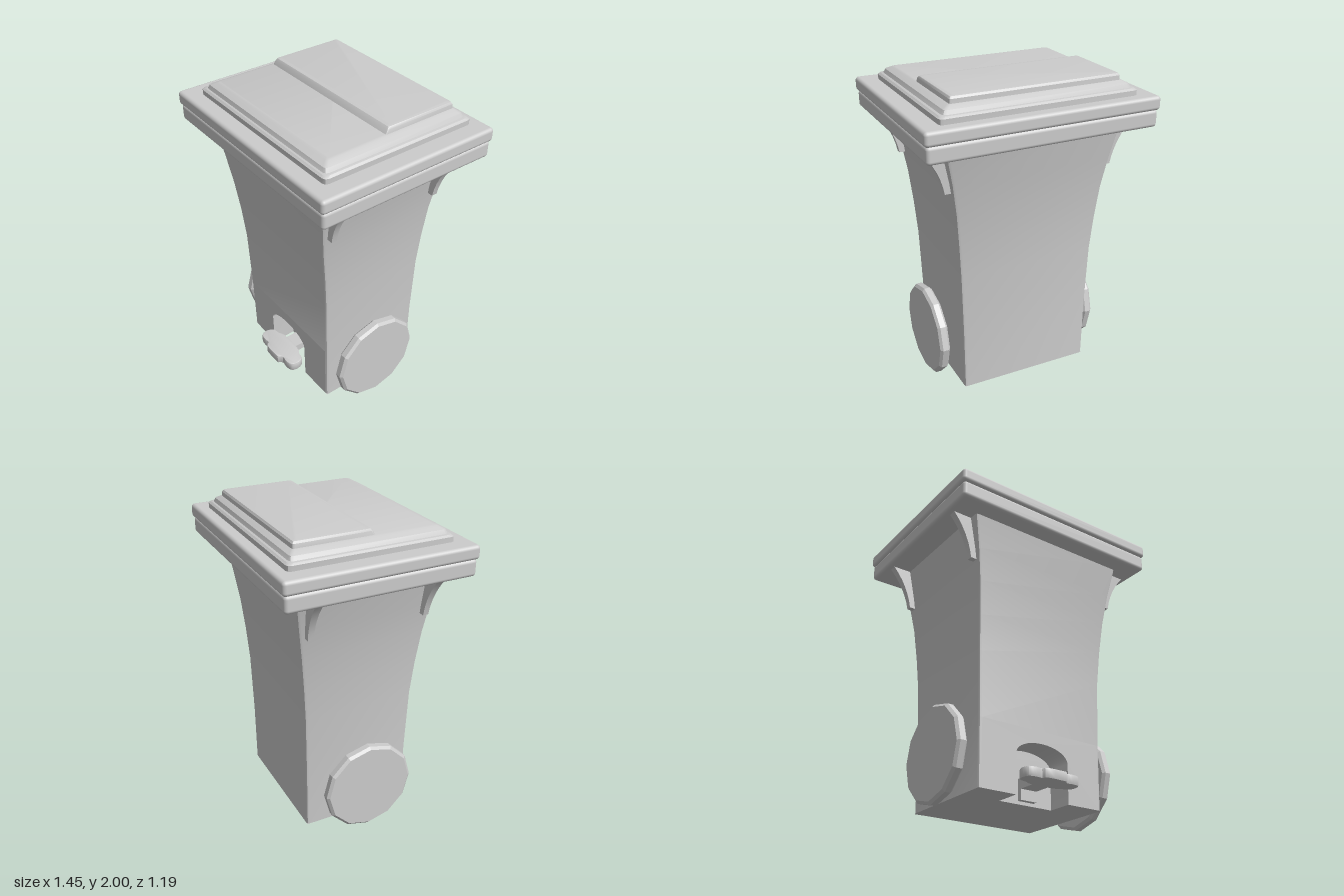
import * as THREE from 'three';
import { toCreasedNormals } from 'three/addons/utils/BufferGeometryUtils.js';
import { RoundedBoxGeometry } from 'three/addons/geometries/RoundedBoxGeometry.js';

const grey = new THREE.MeshStandardMaterial({ color: 0xcccccc });
const greyDouble = new THREE.MeshStandardMaterial({ color: 0xcccccc, side: THREE.DoubleSide });

function part(name, geometry, parent, material = grey) {
  const mesh = new THREE.Mesh(geometry, material);
  mesh.name = name;
  parent.add(mesh);
  return mesh;
}

// Rounded rectangle cross-section: y, half width, front z, back z, corner radius
const CORNER = 3;
function ring([y, hx, zf, zb, r]) {
  const pts = [];
  [[1, 1], [-1, 1], [-1, -1], [1, -1]].forEach(([sx, sz], c) => {
    for (let i = 0; i < CORNER; i++) {
      const a = (c + i / (CORNER - 1)) * Math.PI / 2;
      const z = sz > 0 ? zf - r : zb + r;
      pts.push(new THREE.Vector3(sx * (hx - r) + r * Math.cos(a), y, z + r * Math.sin(a)));
    }
  });
  return pts;
}

// Skin over stacked cross-sections, optionally closed on top or open at the lowest front face
function loft(sections, { cap = false, openFront = false } = {}) {
  const rings = sections.map(ring), n = CORNER * 4, tri = [];
  for (let s = 0; s < rings.length - 1; s++) {
    for (let i = 0; i < n; i++) {
      if (openFront && s === 0 && i === CORNER - 1) continue;
      const j = (i + 1) % n, b = rings[s], t = rings[s + 1];
      tri.push(b[i], t[i], b[j], b[j], t[i], t[j]);
    }
  }
  if (cap) {
    const top = rings[rings.length - 1];
    for (let i = 1; i < n - 1; i++) tri.push(top[0], top[i + 1], top[i]);
  }
  return toCreasedNormals(new THREE.BufferGeometry().setFromPoints(tri), 0.5);
}

// Flared body with an arched recess at the foot of the front
function buildBody() {
  const body = new THREE.Group();
  body.name = 'body';
  const r = 0.018, y0 = 0.05, y1 = 0.45;
  part('bodyShell', loft([
    [y0, 0.43, 0.35, -0.345, r],
    [y1, 0.435, 0.356, -0.348, r],
    [0.85, 0.447, 0.367, -0.357, r],
    [1.07, 0.462, 0.385, -0.372, r],
    [1.28, 0.481, 0.41, -0.392, r],
    [1.48, 0.512, 0.438, -0.42, r],
    [1.71, 0.56, 0.475, -0.455, r],
  ], { openFront: true }), body);

  const frontZ = (y) => 0.35 + 0.006 * (y - y0) / (y1 - y0);
  const w = 0.185, spring = 0.29, back = 0.19;
  const arch = [new THREE.Vector2(w, y0)];
  for (let i = 0; i <= 16; i++) {
    const a = i / 16 * Math.PI;
    arch.push(new THREE.Vector2(w * Math.cos(a), spring + 0.085 * Math.sin(a)));
  }
  arch.push(new THREE.Vector2(-w, y0));

  const panel = new THREE.ShapeGeometry(new THREE.Shape([
    ...arch, new THREE.Vector2(-0.412, y0), new THREE.Vector2(-0.417, y1),
    new THREE.Vector2(0.417, y1), new THREE.Vector2(0.412, y0),
  ]));
  const pp = panel.attributes.position;
  for (let i = 0; i < pp.count; i++) pp.setZ(i, frontZ(pp.getY(i)));
  panel.computeVertexNormals();
  part('lowerFrontPanel', panel, body, greyDouble);

  // Recess wall follows the arch backwards
  const wall = new THREE.PlaneGeometry(1, 1, arch.length - 1, 1);
  arch.forEach((p, i) => {
    wall.attributes.position.setXYZ(i, p.x, p.y, frontZ(p.y));
    wall.attributes.position.setXYZ(i + arch.length, p.x, p.y, back);
  });
  wall.computeVertexNormals();
  part('recessWall', wall, body, greyDouble);
  const rear = new THREE.ShapeGeometry(new THREE.Shape(arch));
  rear.translate(0, 0, back);
  part('recessBack', rear, body, greyDouble);

  // Underside with the recess cut out
  const floor = new THREE.ShapeGeometry(new THREE.Shape([
    [-0.43, -0.345], [0.43, -0.345], [0.43, 0.35], [w, 0.35],
    [w, back], [-w, back], [-w, 0.35], [-0.43, 0.35],
  ].map(([x, z]) => new THREE.Vector2(x, z))));
  floor.rotateX(Math.PI / 2).translate(0, y0, 0);
  part('underside', floor, body, greyDouble);
  return body;
}

// Lid: slab, stepped border, sloping shoulder, and a raised rear panel
function buildLid() {
  const lid = new THREE.Group();
  lid.name = 'lid';
  part('lidSlab', new RoundedBoxGeometry(1.45, 0.085, 1.19, 3, 0.022), lid).position.y = 1.832;
  part('lidCrown', loft([
    [1.865, 0.612, 0.495, -0.52, 0.025],
    [1.905, 0.612, 0.495, -0.52, 0.025],
    [1.915, 0.6, 0.483, -0.508, 0.025],
    [1.917, 0.585, 0.472, -0.495, 0.025],
    [1.94, 0.572, 0.462, -0.485, 0.02],
    [1.957, 0.54, 0.43, -0.46, 0.015],
    [1.962, 0.525, 0.415, -0.45, 0.01],
  ], { cap: true }), lid);
  part('raisedRearPanel', loft([
    [1.95, 0.53, 0.04, -0.455, 0.012],
    [1.985, 0.527, 0.022, -0.453, 0.012],
    [1.997, 0.52, 0.01, -0.445, 0.012],
    [2.0, 0.505, -0.005, -0.43, 0.012],
  ], { cap: true }), lid);
  return lid;
}

// Curved gusset under the rim
function bracketGeometry() {
  const s = new THREE.Shape();
  s.moveTo(0.5, 1.71);
  s.lineTo(0.49, 1.42);
  s.lineTo(0.54, 1.42);
  s.quadraticCurveTo(0.565, 1.57, 0.675, 1.69);
  s.lineTo(0.675, 1.71);
  const g = new THREE.ExtrudeGeometry(s, { depth: 0.045, bevelEnabled: false, curveSegments: 6 });
  const p = g.attributes.position;
  // outer face leans outwards towards the top
  for (let i = 0; i < p.count; i++) {
    const lean = (p.getY(i) - 1.42) / 0.27 * 0.012;
    p.setZ(i, p.getZ(i) > 0.01 ? 0.39 + lean : 0.355);
  }
  return toCreasedNormals(g, 0.5);
}

// Chamfered twelve-sided disc wheel with its axle stub
function buildWheel(side) {
  const wheel = new THREE.Group();
  wheel.name = side > 0 ? 'leftWheel' : 'rightWheel';
  const profile = [[0, -0.033], [0.28, -0.033], [0.297, -0.018], [0.297, 0.018], [0.28, 0.033], [0, 0.033]]
    .map(([x, y]) => new THREE.Vector2(x, y));
  const disc = toCreasedNormals(new THREE.LatheGeometry(profile, 12).toNonIndexed(), 0.3);
  disc.rotateY(Math.PI / 2).rotateZ(Math.PI / 2);
  part('disc', disc, wheel).position.set(side * 0.52, 0.302, 0.035);
  const axle = new THREE.CylinderGeometry(0.056, 0.056, 0.13, 16);
  axle.rotateZ(Math.PI / 2);
  part('axle', axle, wheel).position.set(side * 0.45, 0.285, 0.035);
  return wheel;
}

// Lobed foot pedal on a short arm
function buildPedal() {
  const pedal = new THREE.Group();
  pedal.name = 'pedal';
  const half = [[0.06, 0.482], [0.085, 0.455], [0.125, 0.46], [0.17, 0.45], [0.182, 0.41], [0.165, 0.37], [0.12, 0.36], [0.075, 0.34]];
  const outline = [...half, ...half.slice().reverse().map(([x, z]) => [-x, z])].map(([x, z]) => new THREE.Vector2(x, z));
  const shape = new THREE.Shape(new THREE.SplineCurve([...outline, outline[0]]).getPoints(48).slice(0, -1));
  const plate = new THREE.ExtrudeGeometry(shape, {
    depth: 0.044, bevelThickness: 0.008, bevelSize: 0.007, bevelSegments: 2,
  });
  plate.rotateX(Math.PI / 2).translate(0, 0.182, 0);
  part('footPlate', toCreasedNormals(plate, 0.6), pedal);
  part('pedalArm', new THREE.BoxGeometry(0.11, 0.05, 0.2), pedal).position.set(0, 0.16, 0.28);
  part('pedalMount', new THREE.BoxGeometry(0.11, 0.13, 0.04), pedal).position.set(0, 0.135, 0.2);
  return pedal;
}

export function createModel() {
  const bin = new THREE.Group();
  bin.name = 'wheeledBin';
  bin.add(buildBody(), buildLid(), buildPedal(), buildWheel(1), buildWheel(-1));
  part('rim', new RoundedBoxGeometry(1.43, 0.105, 1.17, 3, 0.022), bin).position.y = 1.74;

  // Four brackets, mirrored by turning the extrusion around
  const bracket = bracketGeometry();
  for (const sx of [1, -1]) {
    for (const sz of [1, -1]) {
      const b = part(`${sz > 0 ? 'front' : 'back'}${sx > 0 ? 'Left' : 'Right'}Bracket`, bracket, bin);
      b.scale.set(sx, 1, sz);
      b.position.z = sz > 0 ? 0.008 : 0.012;
    }
  }
  return bin;
}
